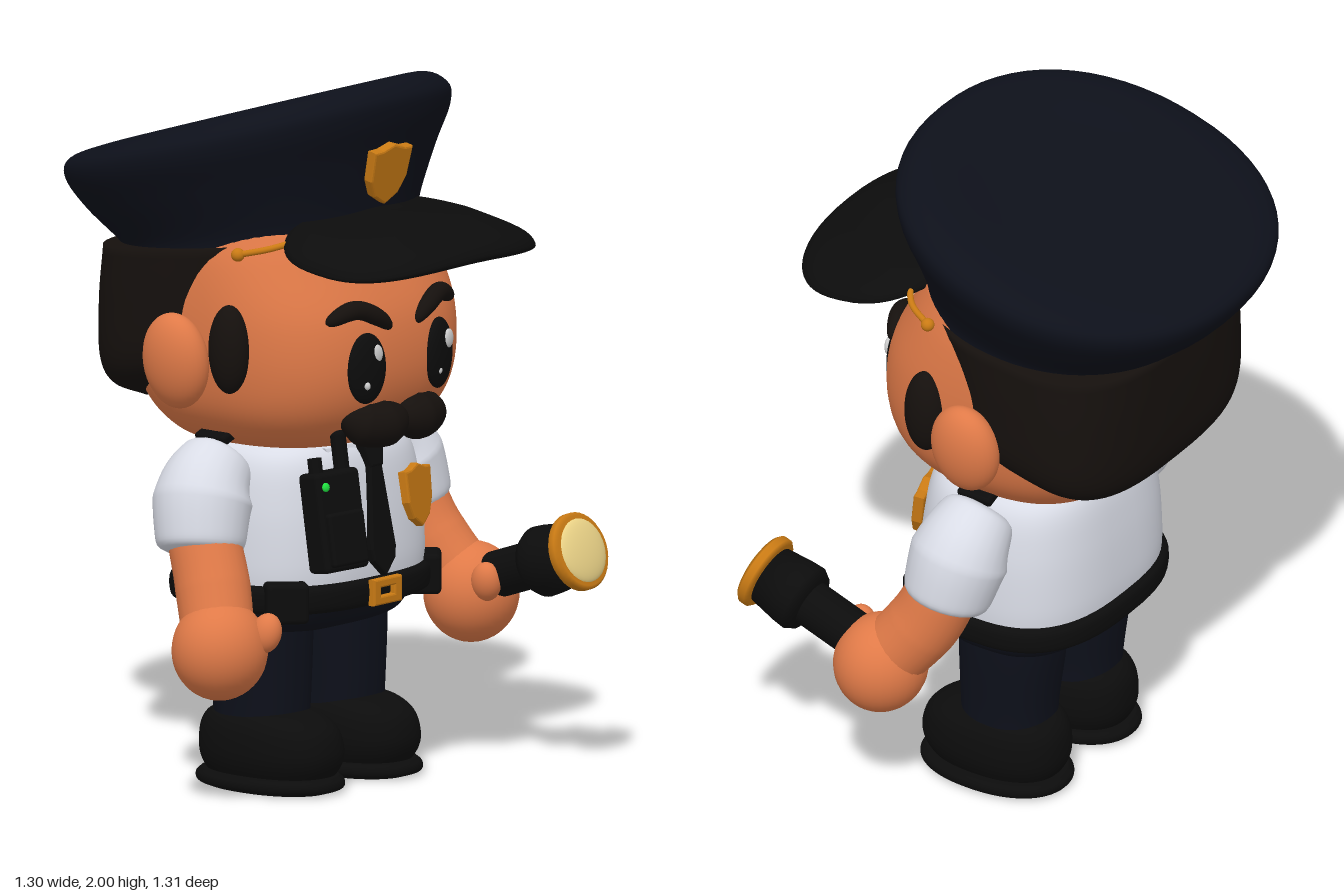
import * as THREE from 'three';
import { mergeVertices } from 'three/addons/utils/BufferGeometryUtils.js';
import { RoundedBoxGeometry } from 'three/addons/geometries/RoundedBoxGeometry.js';

const paint = (color) => new THREE.MeshStandardMaterial({ color });
const SKIN = paint(0xe07a48), SHIRT = paint(0xd9dce6), NAVY = paint(0x0d101a), BLACK = paint(0x0c0c0c),
  HAIR = paint(0x15100d), GOLD = paint(0xc97a14), LENS = paint(0xecd488), WHITE = paint(0xf0f0f0), GREEN = paint(0x20e040);

// Closed skin over superellipse rings [halfWidth, zFront, zBack, yFront, yBack], bottom to top
function loft(rings, n = 2, seg = 64, steps = 6) {
  const A = new THREE.CatmullRomCurve3(rings.map((r) => new THREE.Vector3(r[0], r[1], r[2])), false, 'catmullrom');
  const B = new THREE.CatmullRomCurve3(rings.map((r) => new THREE.Vector3(r[3], r[4] ?? r[3], 0)), false, 'catmullrom');
  const rows = (rings.length - 1) * steps, pos = [], idx = [];
  const power = (c) => Math.sign(c) * Math.abs(c) ** (2 / n);
  for (let i = -1; i <= rows + 1; i++) {
    const u = Math.min(Math.max(i / rows, 0), 1), a = A.getPoint(u), b = B.getPoint(u);
    const k = i < 0 || i > rows ? 0 : 1; // end rows close to a point
    for (let j = 0; j < seg; j++) {
      const t = (j / seg) * Math.PI * 2, c = power(Math.cos(t)) * k, s = power(Math.sin(t)) * k;
      pos.push(a.x * c, (b.x + b.y) / 2 + ((b.x - b.y) / 2) * s, (a.y + a.z) / 2 + ((a.y - a.z) / 2) * s);
    }
  }
  for (let i = 0; i < rows + 2; i++) for (let j = 0; j < seg; j++) {
    const p = i * seg + j, q = i * seg + ((j + 1) % seg);
    idx.push(p, p + seg, q, q, p + seg, q + seg);
  }
  const g = new THREE.BufferGeometry();
  g.setAttribute('position', new THREE.Float32BufferAttribute(pos, 3));
  g.setIndex(idx);
  g.computeVertexNormals();
  return g;
}

// Tube with varying radius and rounded ends
function limb(points, radii, round = 8) {
  const curve = new THREE.CatmullRomCurve3(points.map((p) => new THREE.Vector3(...p)));
  const rows = 32, seg = 24, v = new THREE.Vector3();
  let g = new THREE.TubeGeometry(curve, rows, 1, seg);
  const pos = g.attributes.position;
  for (let k = 0; k < pos.count; k++) {
    const u = Math.floor(k / (seg + 1)) / rows, f = u * (radii.length - 1), i = Math.min(Math.floor(f), radii.length - 2);
    const r = THREE.MathUtils.lerp(radii[i], radii[i + 1], f - i) * Math.sqrt(1 - Math.abs(2 * u - 1) ** round);
    const c = curve.getPointAt(u);
    v.fromBufferAttribute(pos, k).sub(c).multiplyScalar(r).add(c);
    pos.setXYZ(k, v.x, v.y, v.z);
  }
  g.deleteAttribute('uv');
  g.deleteAttribute('normal');
  g = mergeVertices(g, 1e-5);
  g.computeVertexNormals();
  return g;
}

// Flat plate from an outline
function plate(points, depth, bevel = 0.006, holes = []) {
  const shape = new THREE.Shape(points.map((p) => new THREE.Vector2(...p)));
  for (const h of holes) shape.holes.push(new THREE.Path(h.map((p) => new THREE.Vector2(...p))));
  return new THREE.ExtrudeGeometry(shape, { depth, bevelSize: bevel, bevelThickness: bevel, bevelSegments: 2 });
}
const rect = (w, h) => [[-w, -h], [w, -h], [w, h], [-w, h]];
const half = [[0, -0.085], [0.045, -0.06], [0.07, -0.015], [0.075, 0.065], [0.045, 0.066], [0, 0.08]];
const shield = [...half, ...half.slice(1, -1).reverse().map(([x, y]) => [-x, y])];

export function createModel() {
  const model = new THREE.Group();
  const add = (name, geo, mat, p = [0, 0, 0], rot = [0, 0, 0], scale = [1, 1, 1], parent = model) => {
    const m = new THREE.Mesh(geo, mat);
    m.name = name;
    m.position.set(...p);
    m.rotation.set(...rot);
    m.scale.set(...scale);
    parent.add(m);
    return m;
  };
  const ball = new THREE.SphereGeometry(1, 32, 24);
  const box = (w, h, d, r = 0.015) => new RoundedBoxGeometry(w, h, d, 4, r);

  // Head and hair
  add('head', loft([[0.2, 0.16, -0.2, 0.96], [0.31, 0.27, -0.3, 0.995], [0.39, 0.35, -0.38, 1.08], [0.425, 0.385, -0.43, 1.2],
    [0.435, 0.37, -0.45, 1.35], [0.425, 0.3, -0.46, 1.5], [0.4, 0.25, -0.46, 1.6]], 2.6), SKIN);
  add('hair', loft([[0.3, -0.1, -0.38, 1.15, 1.06], [0.4, 0, -0.45, 1.2, 1.1], [0.445, 0.06, -0.482, 1.27, 1.18],
    [0.45, 0.1, -0.488, 1.4, 1.35], [0.445, 0.17, -0.485, 1.57, 1.5]], 3), HAIR);

  // Face, mirrored
  for (const s of [-1, 1]) {
    add('ear', ball, SKIN, [s * 0.465, 1.235, -0.06], [0, 0, -s * 0.12], [0.07, 0.137, 0.105]);
    add('sideburn', ball, HAIR, [s * 0.425, 1.28, 0.1], [0, 0, 0], [0.052, 0.125, 0.062]);
    add('eye', ball, BLACK, [s * 0.155, 1.22, 0.37], [0, s * 0.2, 0], [0.066, 0.1, 0.027]);
    add('eyeHighlight', ball, WHITE, [s * 0.155 + 0.02, 1.26, 0.391], [0, s * 0.2, 0], [0.02, 0.027, 0.01]);
    add('eyeGlint', ball, WHITE, [s * 0.155 - 0.02, 1.175, 0.391], [0, s * 0.2, 0], [0.009, 0.011, 0.008]);
    add('eyebrow', limb([[s * 0.05, 1.32, 0.37], [s * 0.11, 1.36, 0.367], [s * 0.18, 1.385, 0.35], [s * 0.27, 1.355, 0.318]],
      [0.02, 0.026, 0.027, 0.02], 6), HAIR);
    add('moustache', limb([[s * -0.01, 1.07, 0.365], [s * 0.07, 1.052, 0.36], [s * 0.13, 1.055, 0.34], [s * 0.195, 1.09, 0.3]],
      [0.04, 0.066, 0.062, 0.022], 6), HAIR);
  }

  // Cap: crown, visor, cord and badge
  add('capCrown', loft([[0.425, 0.27, -0.48, 1.55, 1.465], [0.435, 0.275, -0.495, 1.64, 1.49], [0.505, 0.308, -0.59, 1.79, 1.57],
    [0.555, 0.342, -0.65, 1.9, 1.65], [0.54, 0.34, -0.64, 1.965, 1.705], [0.44, 0.27, -0.53, 1.998, 1.75],
    [0.24, 0.1, -0.34, 1.935, 1.81], [0.05, -0.07, -0.16, 1.88, 1.86]], 2.15), NAVY);
  const visor = loft([[0.33, 0.58, 0.18, 1.515, 1.57], [0.395, 0.64, 0.15, 1.53, 1.6], [0.405, 0.652, 0.14, 1.55, 1.61],
    [0.38, 0.615, 0.14, 1.585, 1.625], [0.28, 0.5, 0.14, 1.628, 1.65]], 2.5);
  const vp = visor.attributes.position;
  for (let i = 0; i < vp.count; i++) vp.setY(i, vp.getY(i) - 0.28 * vp.getX(i) ** 2);
  visor.computeVertexNormals();
  add('capVisor', visor, BLACK);
  add('capBadge', plate(shield, 0.02), GOLD, [0, 1.748, 0.302], [0.22, 0, 0]);
  for (const s of [-1, 1]) {
    add('capCord', limb([[s * 0.4, 1.545, 0.11], [s * 0.36, 1.565, 0.19], [s * 0.27, 1.59, 0.25]], [0.009, 0.009, 0.009], 20), GOLD);
    add('cordButton', ball, GOLD, [s * 0.4, 1.545, 0.11], [0, 0, 0], [0.019, 0.019, 0.019]);
  }

  // Torso, belt and hips
  add('shirt', loft([[0.35, 0.28, -0.28, 0.56], [0.355, 0.285, -0.285, 0.66], [0.345, 0.272, -0.275, 0.82],
    [0.31, 0.245, -0.25, 0.95], [0.22, 0.18, -0.19, 1.01]], 2.7), SHIRT);
  add('belt', loft([[0.345, 0.275, -0.275, 0.52], [0.368, 0.298, -0.298, 0.535], [0.37, 0.3, -0.3, 0.585],
    [0.35, 0.28, -0.28, 0.605]], 2.7), BLACK);
  add('hips', loft([[0.22, 0.13, -0.16, 0.44], [0.3, 0.21, -0.22, 0.47], [0.335, 0.255, -0.26, 0.54]], 2.6), NAVY);
  add('buckle', plate(rect(0.055, 0.032), 0.015, 0.005, [rect(0.035, 0.017)]), GOLD, [0, 0.563, 0.3]);
  for (const s of [-1, 1]) add('beltPouch', box(0.12, 0.115, 0.09), BLACK, [s * 0.3, 0.56, 0.2], [0, s * 0.7, 0]);

  // Tie, collar and pocket
  add('tie', plate([[-0.018, 0.12], [-0.046, -0.13], [-0.04, -0.16], [0, -0.2], [0.04, -0.16], [0.046, -0.13], [0.018, 0.12]], 0.015),
    BLACK, [0, 0.81, 0.268], [-0.13, 0, 0]);
  add('tieKnot', plate([[-0.035, 0.03], [-0.02, -0.025], [0.02, -0.025], [0.035, 0.03]], 0.025), BLACK, [0, 0.935, 0.245], [-0.2, 0, 0]);
  for (const s of [-1, 1]) {
    const flap = [[0.03, 0.05], [0.1, -0.045], [0.15, 0.05]].map(([x, y]) => [s * x, y]);
    add('collarFlap', plate(flap, 0.012, 0.004), SHIRT, [0, 0.925, 0.235], [-0.25, s * 0.12, 0]);
  }
  add('pocket', plate(rect(0.075, 0.08), 0.006), SHIRT, [-0.17, 0.8, 0.258], [-0.1, -0.2, 0]);
  add('chestBadge', plate(shield, 0.02), GOLD, [0.19, 0.8, 0.247], [-0.12, 0.27, 0]);

  // Radio
  const radio = new THREE.Group();
  radio.name = 'radio';
  radio.position.set(-0.23, 0.795, 0.315);
  radio.rotation.set(-0.15, -0.15, 0);
  model.add(radio);
  add('radioBody', box(0.16, 0.28, 0.085), BLACK, [0, 0, 0], [0, 0, 0], [1, 1, 1], radio);
  add('radioSpeaker', box(0.13, 0.15, 0.03, 0.01), BLACK, [0, -0.05, 0.045], [0, 0, 0], [1, 1, 1], radio);
  add('radioAntenna', new THREE.CapsuleGeometry(0.022, 0.16, 6, 16), BLACK, [0.05, 0.15, 0], [0, 0, 0], [1, 1, 1], radio);
  add('radioKnob', new THREE.CylinderGeometry(0.02, 0.02, 0.05, 20), BLACK, [-0.045, 0.155, 0], [0, 0, 0], [1, 1, 1], radio);
  add('radioLight', ball, GREEN, [-0.052, 0.1, 0.043], [0, 0, 0], [0.013, 0.013, 0.008], radio);

  // Arms and hands
  for (const s of [-1, 1]) {
    const hand = s > 0 ? [0.512, 0.47, 0.19] : [-0.513, 0.45, 0.14];
    add('sleeve', limb([[s * 0.31, 0.95, -0.02], [s * 0.4, 0.865, -0.01], [s * 0.455, 0.69, 0.02]], [0.1, 0.14, 0.122], 14), SHIRT);
    add('shoulderTab', box(0.06, 0.03, 0.11, 0.01), BLACK, [s * 0.34, 1.01, -0.02], [0, 0, -s * 0.35]);
    add('forearm', limb([[s * 0.44, 0.77, 0.01], [s * 0.465, 0.63, 0.07], hand], [0.1, 0.105, 0.1], 14), SKIN);
    add('hand', ball, SKIN, hand, [0, 0, 0], [0.138, 0.142, 0.132]);
    add('thumb', ball, SKIN, [s * 0.445, hand[1] + 0.05, hand[2] + 0.11], [0.2, 0, s * 0.2], [0.04, 0.057, 0.045]);
  }

  // Flashlight, built along y then aimed forward
  const torch = new THREE.Group();
  torch.name = 'flashlight';
  torch.position.set(0.51, 0.5, 0.2);
  torch.rotation.x = Math.PI / 2 - 0.33;
  model.add(torch);
  const turned = (pts) => new THREE.LatheGeometry(pts.map((p) => new THREE.Vector2(...p)), 40);
  add('torchBarrel', new THREE.CylinderGeometry(0.066, 0.066, 0.36, 40), BLACK, [0, 0.08, 0], [0, 0, 0], [1, 1, 1], torch);
  add('torchHead', turned([[0, 0.24], [0.085, 0.24], [0.1, 0.265], [0.098, 0.3], [0.086, 0.39], [0, 0.39]]), BLACK,
    [0, 0, 0], [0, 0, 0], [1, 1, 1], torch);
  add('torchRim', turned([[0, 0.38], [0.1, 0.38], [0.11, 0.39], [0.11, 0.41], [0.1, 0.42], [0, 0.42]]), GOLD,
    [0, 0, 0], [0, 0, 0], [1, 1, 1], torch);
  add('torchLens', ball, LENS, [0, 0.415, 0], [0, 0, 0], [0.093, 0.022, 0.093], torch);

  // Legs and shoes
  for (const s of [-1, 1]) {
    add('leg', loft([[0.12, 0.125, -0.135, 0.15], [0.125, 0.13, -0.14, 0.25], [0.14, 0.132, -0.16, 0.42], [0.145, 0.13, -0.165, 0.54]], 2.3),
      NAVY, [s * 0.16, 0, 0]);
    add('shoe', loft([[0.12, 0.22, -0.155, 0.03], [0.142, 0.25, -0.18, 0.075], [0.148, 0.256, -0.187, 0.12],
      [0.14, 0.235, -0.18, 0.175], [0.118, 0.18, -0.155, 0.21], [0.08, 0.11, -0.11, 0.225]], 2.3), BLACK, [s * 0.165, 0, 0]);
    add('sole', loft([[0.125, 0.225, -0.165, 0], [0.152, 0.258, -0.192, 0.012], [0.155, 0.26, -0.195, 0.032],
      [0.14, 0.245, -0.18, 0.047]], 2.2), BLACK, [s * 0.168, 0, 0]);
  }
  return model;
}
